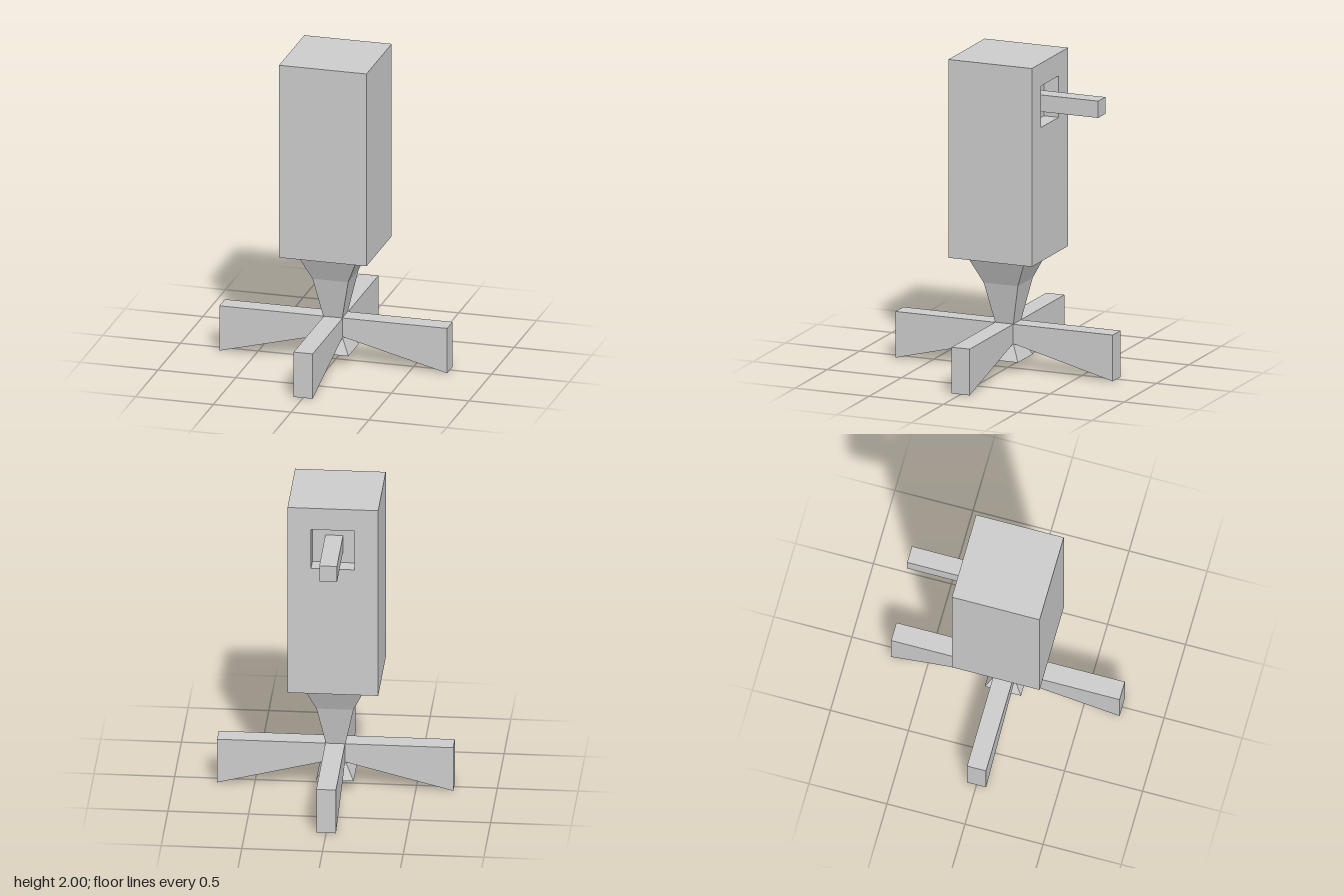
import * as THREE from 'three';

const material = new THREE.MeshStandardMaterial({ color: 0xcccccc, flatShading: true });

function add(parent, name, geometry, x = 0, y = 0, z = 0) {
  const mesh = new THREE.Mesh(geometry, material);
  mesh.name = name;
  mesh.position.set(x, y, z);
  parent.add(mesh);
  return mesh;
}

// Square tapered block between two heights, given its half-widths
function taper(parent, name, y0, half0, y1, half1) {
  const g = new THREE.CylinderGeometry(half1 * Math.SQRT2, half0 * Math.SQRT2, y1 - y0, 4);
  g.rotateY(Math.PI / 4);
  return add(parent, name, g, -0.003, (y0 + y1) / 2, 0);
}

function rectangle(Target, x0, y0, x1, y1) {
  const r = new Target();
  r.moveTo(x0, y0);
  r.lineTo(x1, y0);
  r.lineTo(x1, y1);
  r.lineTo(x0, y1);
  r.closePath();
  return r;
}

export function createModel() {
  const model = new THREE.Group();
  model.name = 'model';

  // Tall body: solid block plus a rear wall with a square recess
  const body = new THREE.Group();
  body.name = 'body';
  body.position.x = -0.004;
  model.add(body);
  const half = 0.281, bottom = 0.735, top = 2, depth = 0.1;
  add(body, 'mainBlock', new THREE.BoxGeometry(2 * half, top - bottom, 2 * half - depth),
    0, (top + bottom) / 2, depth / 2);
  const wall = rectangle(THREE.Shape, -half, bottom, half, top);
  wall.holes.push(rectangle(THREE.Path, -0.135, 1.59, 0.135, 1.855));
  add(body, 'recessedRearWall', new THREE.ExtrudeGeometry(wall, { depth, bevelEnabled: false }), 0, 0, -half);

  // Lever standing out of the recess
  const leverBack = -0.63, leverFront = depth - half;
  add(body, 'lever', new THREE.BoxGeometry(0.11, 0.107, leverFront - leverBack),
    0, 1.721, (leverBack + leverFront) / 2);

  // Neck, core and flared foot
  taper(model, 'upperNeck', 0.555, 0.115, 0.735, 0.194);
  taper(model, 'lowerNeck', 0.295, 0.061, 0.555, 0.115);
  taper(model, 'core', 0.172, 0.061, 0.295, 0.061);
  taper(model, 'flaredFoot', 0.068, 0.116, 0.172, 0.061);

  // Four legs that deepen outwards
  const profile = new THREE.Shape();
  profile.moveTo(0.058, 0.172);
  profile.lineTo(0.732, 0);
  profile.lineTo(0.732, 0.295);
  profile.lineTo(0.058, 0.295);
  profile.closePath();
  const legGeometry = new THREE.ExtrudeGeometry(profile, { depth: 0.122, bevelEnabled: false });
  legGeometry.translate(0, 0, -0.061);
  for (let i = 0; i < 4; i++) {
    add(model, 'leg' + (i + 1), legGeometry).rotation.y = i * Math.PI / 2;
  }

  return model;
}
